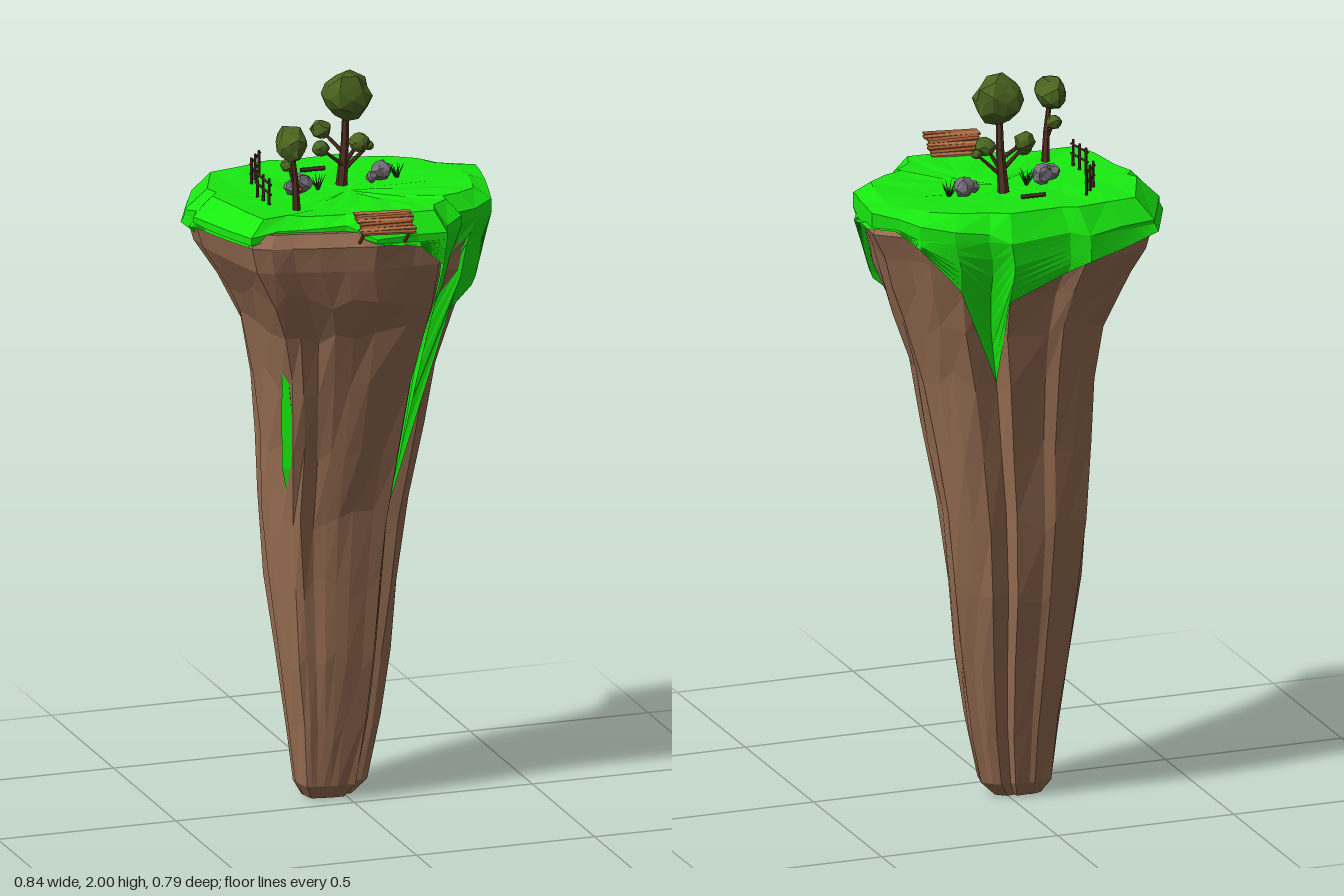
import * as THREE from 'three';

const V = (x, y, z) => new THREE.Vector3(x, y, z);
const mat = (color, side = THREE.FrontSide) => new THREE.MeshStandardMaterial({ color, flatShading: true, side });
const MATS = {
  rock: mat(0x966d52), grass: mat(0x18ea10, THREE.DoubleSide), leaf: mat(0x4a6420), bark: mat(0x553325),
  stone: mat(0x77717a), plankA: mat(0x9c5730), plankB: mat(0xb0714a), blade: mat(0x1d4a14, THREE.DoubleSide), cap: mat(0x9a4a2c),
};
// Repeatable noise in -1..1
const noise = (a, b = 0, c = 0) => {
  const s = Math.sin(a * 127.1 + b * 311.7 + c * 74.7) * 43758.5453;
  return (s - Math.floor(s)) * 2 - 1;
};

// Plan outline, clockwise from the back corner: x, z, height of the grass rim, lowest grass point
const OUTLINE = [
  [-.33, -.35, 1.63, 1.6], [-.23, -.37, 1.63, 1.57], [-.13, -.39, 1.62, 1.55], [-.08, -.37, 1.63, 1.52], [.09, -.38, 1.62, 1.45],
  [.14, -.34, 1.64, 1.2], [.23, -.32, 1.65, 1.48], [.31, -.27, 1.66, 1.6], [.35, -.22, 1.67, 1.64], [.41, -.17, 1.68, 1.64],
  [.405, -.12, 1.68, 1.64], [.395, -.05, 1.675, 1.62], [.38, .02, 1.67, 1.6], [.37, .07, 1.66, 1.42], [.31, .11, 1.65, 1.36],
  [.25, .13, 1.65, .72], [.255, .155, 1.65, .95], [.2, .2, 1.64, 1.3], [.18, .255, 1.64, 1.55], [.1, .25, 1.64, 1.61],
  [-.02, .26, 1.64, 1.63], [-.1, .24, 1.67, 1.65], [-.17, .225, 1.665, 1.65], [-.24, .205, 1.66, 1.645], [-.3, .195, 1.66, 1.64],
  [-.345, .17, 1.65, 1.63], [-.37, .08, 1.645, 1.625], [-.395, -.03, 1.64, 1.62], [-.41, -.11, 1.635, 1.61],
  [-.39, -.14, 1.64, 1.58], [-.41, -.18, 1.635, 1.6],
];
const N = OUTLINE.length;
// Pillar extents by height: y, min x, max x, min z, max z
const LEVELS = [
  [0, -.105, .03, -.145, -.06], [.04, -.13, .068, -.17, -.03], [.2, -.147, .103, -.195, -.005], [.4, -.17, .133, -.233, .018],
  [.6, -.192, .158, -.272, .035], [.8, -.208, .183, -.292, .055], [1, -.218, .213, -.3, .1], [1.2, -.242, .25, -.312, .145],
  [1.35, -.275, .298, -.33, .185], [1.45, -.325, .333, -.352, .23], [1.55, -.388, .362, -.378, .252], [1.62, -.41, .395, -.385, .262],
  [1.655, -.385, .365, -.335, .24],
];
// Corners pulled inwards to form the vertical clefts, and corners of the bare front ledge
const CRACKS = { 5: .14, 15: .22, 16: .08, 20: .04, 23: .05 };
const isLedge = i => i >= 21 && i <= 24;

// Point on the pillar's side at outline corner i and height y
function surface(i, y, grow = 1) {
  let k = 0;
  while (k < LEVELS.length - 2 && LEVELS[k + 1][0] < y) k++;
  const t = THREE.MathUtils.clamp((y - LEVELS[k][0]) / (LEVELS[k + 1][0] - LEVELS[k][0]), 0, 1);
  const [, x0, x1, z0, z1] = LEVELS[k].map((v, j) => THREE.MathUtils.lerp(v, LEVELS[k + 1][j], t));
  const u = (OUTLINE[i][0] + .41) / .82, w = (OUTLINE[i][1] + .39) / .65;
  const fade = THREE.MathUtils.clamp((1.6 - y) / .3, 0, 1);
  const wobble = THREE.MathUtils.lerp(noise(i, k), noise(i, k + 1), t) * .035 * fade;
  const s = grow * (1 + wobble - (CRACKS[i] || 0) * fade);
  const cx = (x0 + x1) / 2, cz = (z0 + z1) / 2;
  return V(cx + (THREE.MathUtils.lerp(x0, x1, u) - cx) * s, y, cz + (THREE.MathUtils.lerp(z0, z1, w) - cz) * s);
}

// Skin closed rings of points, listed from the bottom up
function loft(name, rings, material) {
  const p = [], n = rings[0].length;
  const tri = (a, b, c) => {
    if (a.distanceTo(b) > 1e-5 && b.distanceTo(c) > 1e-5 && a.distanceTo(c) > 1e-5) [a, b, c].forEach(v => p.push(v.x, v.y, v.z));
  };
  for (let r = 0; r < rings.length - 1; r++) for (let i = 0; i < n; i++) {
    const j = (i + 1) % n, a = rings[r][i], b = rings[r][j], c = rings[r + 1][j], d = rings[r + 1][i];
    tri(b, a, d);
    tri(b, d, c);
  }
  const g = new THREE.BufferGeometry();
  g.setAttribute('position', new THREE.Float32BufferAttribute(p, 3));
  g.computeVertexNormals();
  return named(new THREE.Mesh(g, material), name);
}
const named = (o, name) => { o.name = name; return o; };
const ring = f => OUTLINE.map((_, i) => f(i));

// Faceted lump used for foliage and stones
function lump(name, radius, pos, scale, material, rough = .12) {
  const g = new THREE.IcosahedronGeometry(radius, 1), a = g.attributes.position;
  for (let i = 0; i < a.count; i++) {
    const v = V(0, 0, 0).fromBufferAttribute(a, i);
    const q = [v.x, v.y, v.z].map(n => Math.round(n / radius * 50) + pos[0] * 90);
    v.multiplyScalar(1 + rough * noise(...q));
    a.setXYZ(i, v.x * scale[0], v.y * scale[1], v.z * scale[2]);
  }
  g.computeVertexNormals();
  const m = named(new THREE.Mesh(g, material), name);
  m.position.set(...pos);
  return m;
}

// Tapered round bar between two points
function bar(name, from, to, r0, r1, material = MATS.bark) {
  const a = V(...from), b = V(...to), d = b.clone().sub(a);
  const m = named(new THREE.Mesh(new THREE.CylinderGeometry(r1, r0, d.length(), 6), material), name);
  m.position.copy(a).add(b).multiplyScalar(.5);
  m.quaternion.setFromUnitVectors(V(0, 1, 0), d.normalize());
  return m;
}

function tree(name, base, top, radius, crown, branches) {
  const g = named(new THREE.Group(), name);
  const mid = base.map((v, k) => (v + top[k]) / 2 + (k === 0 ? .004 : 0));
  g.add(bar('trunk', base, mid, radius * 1.5, radius), bar('trunk', mid, top, radius, radius * .7));
  g.add(lump('crown', 1, top, crown, MATS.leaf));
  for (const [x, y, z, r] of branches) {
    const start = mid.slice();
    start[1] = y - .06;
    g.add(bar('branch', start, [x, y, z], radius * .6, radius * .35), lump('leafCluster', r, [x, y, z], [1, .9, 1], MATS.leaf));
  }
  return g;
}

function fence(x0, z0, x1, z1) {
  const g = named(new THREE.Group(), 'fence');
  for (const y of [1.715, 1.742]) g.add(bar('fenceRail', [x0, y, z0], [x1, y + .006, z1], .0035, .0035));
  for (const t of [.12, .5, .88]) {
    const x = x0 + (x1 - x0) * t, z = z0 + (z1 - z0) * t;
    g.add(bar('fencePost', [x, 1.66, z], [x, 1.757, z], .0045, .0035));
  }
  return g;
}

function grassTuft(x, z) {
  const g = named(new THREE.Group(), 'grassTuft');
  for (let i = 0; i < 9; i++) {
    const blade = new THREE.Mesh(new THREE.ConeGeometry(.0035, .05, 3).translate(0, .025, 0), MATS.blade);
    blade.position.set(x, 1.68, z);
    blade.rotation.set(0, i * 2.4, .25 + .5 * Math.abs(noise(i, x)), 'YXZ');
    g.add(named(blade, 'grassBlade'));
  }
  return g;
}

function bridge() {
  const g = named(new THREE.Group(), 'bridge');
  for (let i = 0; i < 8; i++) {
    const t = i / 7;
    const plank = new THREE.Mesh(new THREE.BoxGeometry(.15 + .012 * noise(i, 3), .005, .023), i % 3 ? MATS.plankA : MATS.plankB);
    plank.position.set(.012 - .044 * t, 1.692 + .002 * noise(i), .192 + .176 * t);
    plank.rotation.y = -.13 + .08 * noise(i, 7);
    g.add(named(plank, 'plank'));
  }
  for (const s of [-1, 1]) {
    const x = s * .06, z = s * .01;
    g.add(bar('bridgeBeam', [x + .01, 1.687, .19 + z], [x - .03, 1.687, .37 + z], .004, .004, MATS.plankA));
    g.add(bar('bridgeBrace', [x - .005, 1.62, .235 + z], [x - .028, 1.685, .345 + z], .005, .005, MATS.plankA));
  }
  return g;
}

export function createModel() {
  const model = named(new THREE.Group(), 'floatingCliff');

  // Rock pillar, closed at both ends, with uneven facet heights along the shaft
  const rock = LEVELS.map(([y], k) => ring(i => surface(i, y + (k > 1 && k < 10 ? .035 * noise(i, k, 5) : 0))));
  model.add(loft('rockPillar', [ring(() => V(-.04, .008, -.105)), ...rock, ring(() => V(0, 1.64, -.06))], MATS.rock));

  // Grass blanket: hanging skirt, rim, then the uneven plateau
  const rows = 8;
  const skirt = Array.from({ length: rows + 1 }, (_, r) => ring(i => {
    const [, , top, low] = OUTLINE[i];
    const y = THREE.MathUtils.lerp(low, Math.max(1.62, low), r / rows);
    const p = surface(i, Math.min(y, 1.62), isLedge(i) ? .89 : THREE.MathUtils.lerp(1.05, 1.01, r / rows));
    p.y = Math.min(y, top);
    return p;
  }));
  const rim = ring(i => V(skirt[rows][i].x, OUTLINE[i][2], skirt[rows][i].z));
  const inner = [[.87, 1.69], [.65, 1.685], [.4, 1.682], [.2, 1.68], [0, 1.68]].map(([s, y], k) => ring(i => {
    const q = s + (s ? .012 * noise(i, k, 9) : 0);
    return V(rim[i].x * q, y + (s ? .003 * noise(i, k) : 0), -.06 + (rim[i].z + .06) * q);
  }));
  model.add(loft('grass', [...skirt, rim, ...inner], MATS.grass));

  // Narrow grass streak lower down the left front corner, as a thin spindle
  const streak = [[.84, 0], [.95, .022], [1.1, .02], [1.22, .012], [1.34, 0]].map(([y, r]) => {
    const p = surface(25, y, .97).lerp(surface(26, y, .97), .5);
    return [[-1, 0], [0, -1.3], [1, 0], [0, 1.3]].map(([x, z]) => V(p.x + x * r, y, p.z + z * r));
  });
  model.add(loft('grassStreak', streak, MATS.grass));

  // Trees
  model.add(tree('largeTree', [.005, 1.66, -.12], [.012, 1.933, -.1], .011, [.068, .067, .061],
    [[.045, 1.8, -.09, .029], [-.04, 1.825, -.155, .029], [-.058, 1.79, -.1, .023], [.075, 1.785, -.1, .014]]));
  model.add(tree('smallTree', [-.185, 1.66, .07], [-.205, 1.872, .082], .008, [.042, .046, .064],
    [[-.2, 1.8, .042, .021]]));

  // Fences and a fallen log
  model.add(fence(-.24, .02, -.247, -.085), fence(-.23, -.175, -.177, -.248));
  model.add(bar('fallenLog', [-.072, 1.695, -.225], [-.004, 1.695, -.223], .006, .006));

  // Stones: x, z, radius
  for (const [x, z, r] of [[-.15, -.07, .023], [-.115, -.088, .028], [.118, -.12, .029], [.085, -.1, .016]])
    model.add(lump('stone', r, [x, 1.688 + r * .6, z], [.95, .95, .85], MATS.stone, .2));
  model.add(lump('mushroom', .009, [-.132, 1.695, -.06], [1, .8, 1], MATS.cap));
  model.add(grassTuft(.16, -.115), grassTuft(-.07, -.09));

  model.add(bridge());
  return model;
}
